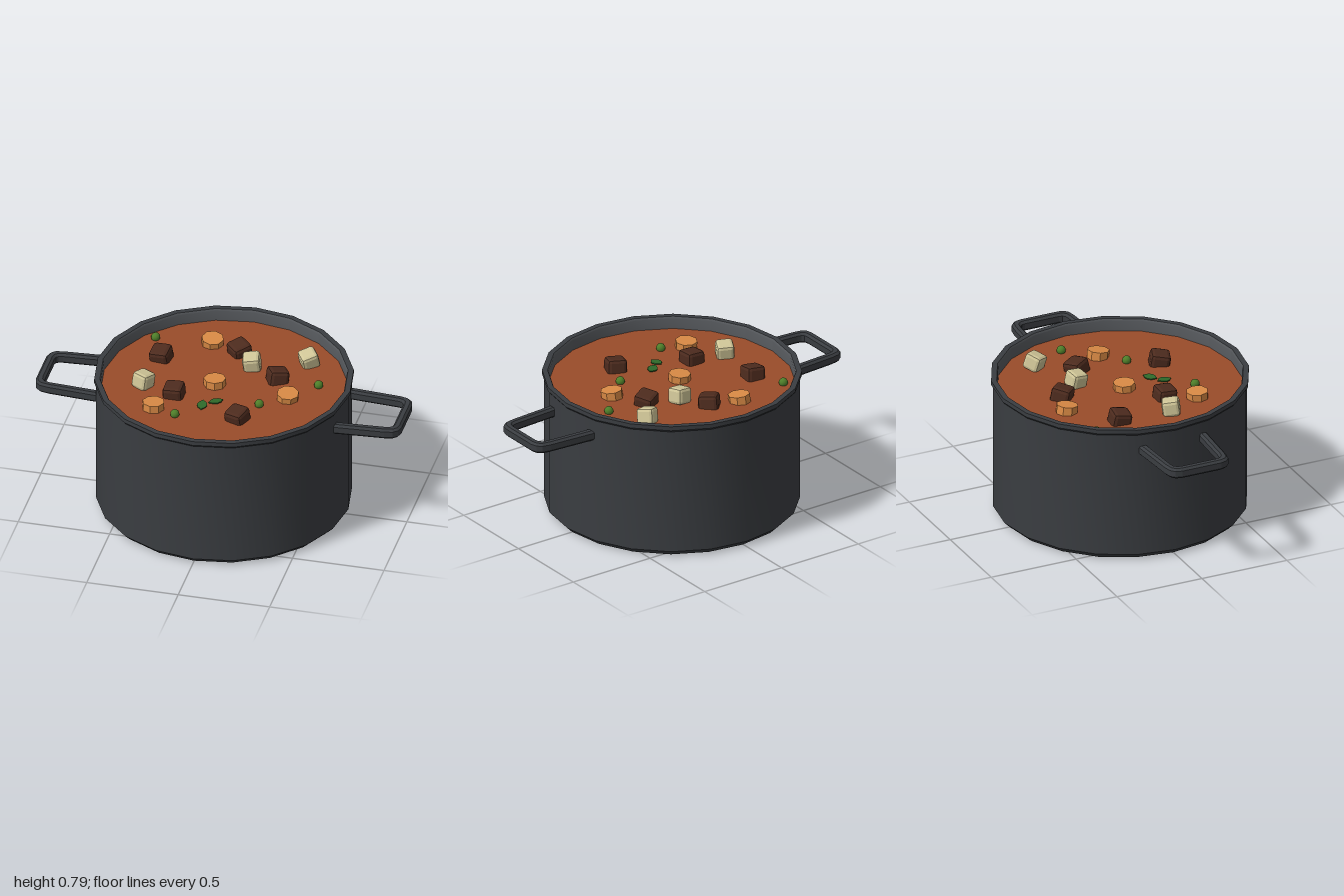
import * as THREE from 'three';
import { toCreasedNormals } from 'three/addons/utils/BufferGeometryUtils.js';
import { RoundedBoxGeometry } from 'three/addons/geometries/RoundedBoxGeometry.js';

const SIDES = 20;
const SOUP_Y = 0.7;

const mat = (color, flatShading = false) => new THREE.MeshStandardMaterial({ color, flatShading });

function add(parent, name, geometry, material, position = [0, 0, 0], rotation = [0, 0, 0]) {
  const mesh = new THREE.Mesh(geometry, material);
  mesh.name = name;
  mesh.position.set(...position);
  mesh.rotation.set(...rotation);
  parent.add(mesh);
  return mesh;
}

// Turned profile, smooth around the pot and sharp at the bends
function turned(profile) {
  const points = profile.map(([r, y]) => new THREE.Vector2(r, y));
  return toCreasedNormals(new THREE.LatheGeometry(points, SIDES), 0.5);
}

// U-shaped loop handle with bevelled edges, lying flat and pointing to +x
function handleGeometry() {
  const outer = [[0.645, 0.2], [0.92, 0.181], [0.965, 0.172], [0.99, 0.15], [1, 0.115]];
  const inner = [[0.645, 0.153], [0.915, 0.136], [0.937, 0.131], [0.949, 0.12], [0.953, 0.1]];
  const mirrored = (list) => list.map(([x, z]) => [x, -z]);
  const outline = [...mirrored(outer), ...outer.slice().reverse(), ...inner, ...mirrored(inner).reverse()];
  const shape = new THREE.Shape(outline.map(([x, z]) => new THREE.Vector2(x, z)));
  const geometry = new THREE.ExtrudeGeometry(shape, {
    depth: 0.034, bevelEnabled: true, bevelThickness: 0.012, bevelSize: 0.012,
    bevelOffset: -0.012, bevelSegments: 1,
  });
  return geometry.translate(0, 0, -0.017).rotateX(-Math.PI / 2);
}

// Thin pointed leaf, lying flat with its length along z
function leafGeometry() {
  const shape = new THREE.Shape();
  shape.moveTo(0, -0.042);
  shape.quadraticCurveTo(0.055, 0, 0, 0.042);
  shape.quadraticCurveTo(-0.055, 0, 0, -0.042);
  return new THREE.ExtrudeGeometry(shape, { depth: 0.006, bevelEnabled: false, curveSegments: 4 })
    .rotateX(-Math.PI / 2);
}

export function createModel() {
  const model = new THREE.Group();
  model.name = 'stewPot';
  const iron = mat(0x3a3d41);

  // Pot shell with chamfered foot and projecting rim
  add(model, 'potBody', turned([
    [0, 0], [0.65, 0], [0.68, 0.03], [0.68, 0.735], [0.69, 0.747], [0.69, 0.77], [0.66, 0.77],
  ]), iron);
  add(model, 'innerWall', turned([[0.66, 0.77], [0.655, 0.76], [0.655, 0.66]]), mat(0x55585c));
  add(model, 'stewSurface', turned([[0.656, SOUP_Y], [0, SOUP_Y]]), mat(0x9a4c2a));

  // Side handles
  const handle = handleGeometry();
  add(model, 'leftHandle', handle, iron, [0, 0.643, 0]);
  add(model, 'rightHandle', handle, iron, [0, 0.643, 0], [0, Math.PI, 0]);

  // Meat cubes: x, z, turn, tilt
  const meat = new RoundedBoxGeometry(0.108, 0.1, 0.108, 1, 0.02);
  const meatMat = mat(0x4d2b1e, true);
  [[0, -0.34, 0.8, 0.12], [-0.39, -0.19, -0.1, 0.18], [0.26, -0.13, 0.5, -0.15],
    [-0.235, 0.15, 0, 0.08], [0.15, 0.305, -0.35, 0.18]].forEach(([x, z, turn, tilt]) =>
    add(model, 'meatCube', meat, meatMat, [x, 0.714, z], [tilt, turn, tilt * 0.6]));

  // Potato cubes
  const potato = new RoundedBoxGeometry(0.095, 0.09, 0.095, 1, 0.018);
  const potatoMat = mat(0xcfc597, true);
  [[0.1, -0.21, 0.2, 0.15], [0.385, -0.315, 0.6, 0.2], [-0.415, 0.1, -0.45, -0.17]]
    .forEach(([x, z, turn, tilt]) =>
      add(model, 'potatoCube', potato, potatoMat, [x, 0.736, z], [tilt, turn, tilt * 0.7]));

  // Carrot slices
  const carrot = new THREE.CylinderGeometry(0.06, 0.06, 0.05, 8);
  const carrotMat = mat(0xd98a45, true);
  [[-0.16, -0.39, 0.12], [0.36, 0.045, 0.15], [-0.05, 0, -0.06], [-0.31, 0.305, -0.1]]
    .forEach(([x, z, tilt], i) =>
      add(model, 'carrotSlice', carrot, carrotMat, [x, 0.715, z], [tilt, i * 0.5, -tilt * 0.5]));

  // Peas
  const pea = new THREE.SphereGeometry(0.025, 10, 8);
  const peaMat = mat(0x4f7f2a);
  [[-0.465, -0.365], [0.49, -0.11], [0.23, 0.15], [-0.18, 0.355]].forEach(([x, z]) =>
    add(model, 'pea', pea, peaMat, [x, 0.713, z]));

  // Herb leaves
  const leaf = leafGeometry();
  const leafMat = mat(0x2f6a2a, true);
  add(model, 'herbLeaf', leaf, leafMat, [-0.062, 0.708, 0.23], [0.08, 0.1, 0]);
  add(model, 'herbLeaf', leaf, leafMat, [0, 0.708, 0.177], [0, -0.95, 0.08]);

  return model;
}
